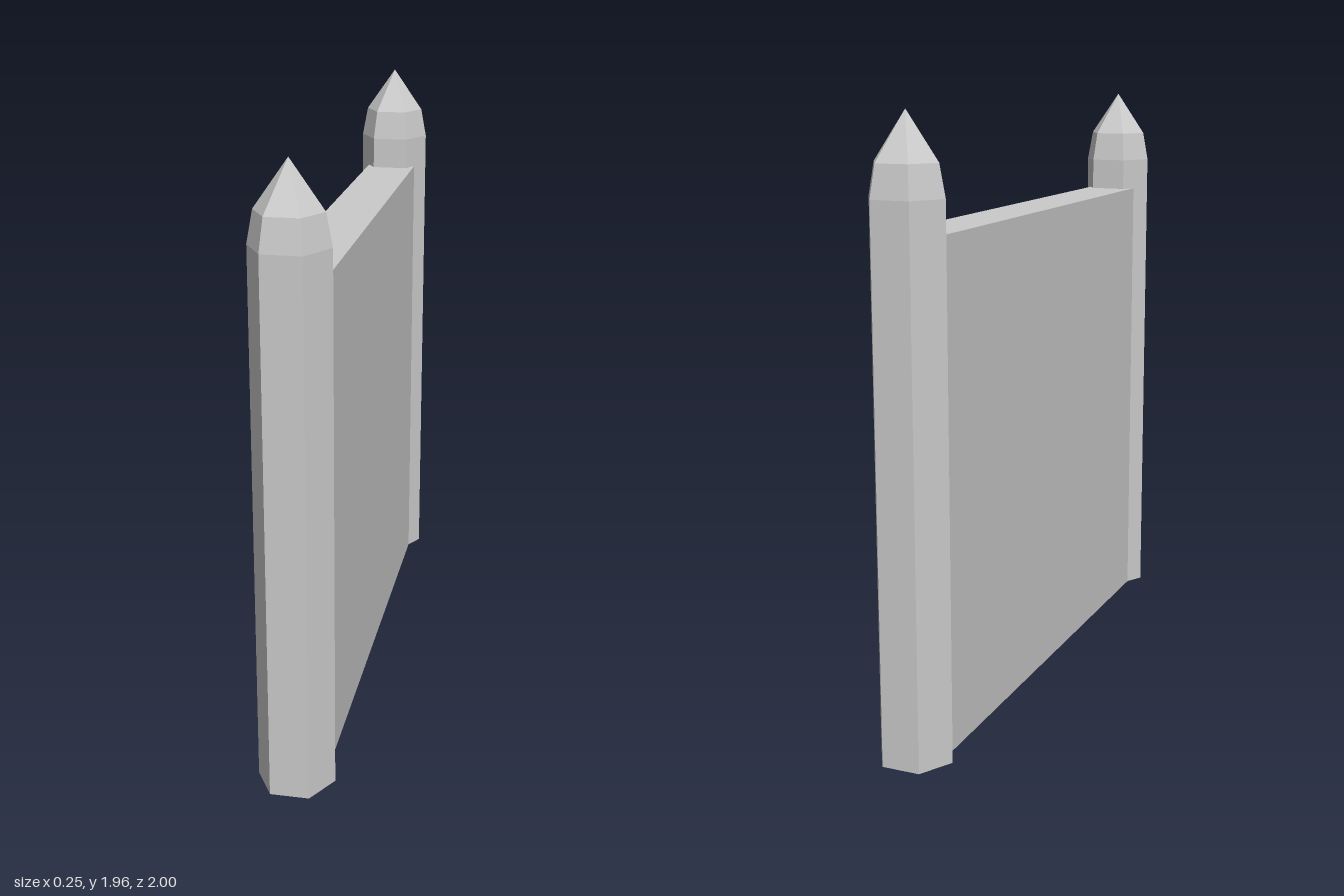
import * as THREE from 'three';

export function createModel() {
  const model = new THREE.Group();
  const material = new THREE.MeshStandardMaterial({ color: 0xcccccc, flatShading: true });

  // Hexagonal post with a two-stage pointed cap, corners on the x axis
  const profile = [[0, 0], [0.123, 0], [0.123, 1.715], [0.104, 1.815], [0, 1.963]]
    .map(([r, y]) => new THREE.Vector2(r, y));
  const postGeometry = new THREE.LatheGeometry(profile, 6, Math.PI / 2);

  for (const [name, side] of [['frontPost', 1], ['backPost', -1]]) {
    const post = new THREE.Mesh(postGeometry, material);
    post.name = name;
    post.position.z = side * 0.893;
    model.add(post);
  }

  // Solid wall panel running between the post centres
  const height = 1.606;
  const panel = new THREE.Mesh(new THREE.BoxGeometry(0.176, height, 1.786), material);
  panel.name = 'wallPanel';
  panel.position.y = height / 2;
  model.add(panel);

  return model;
}
